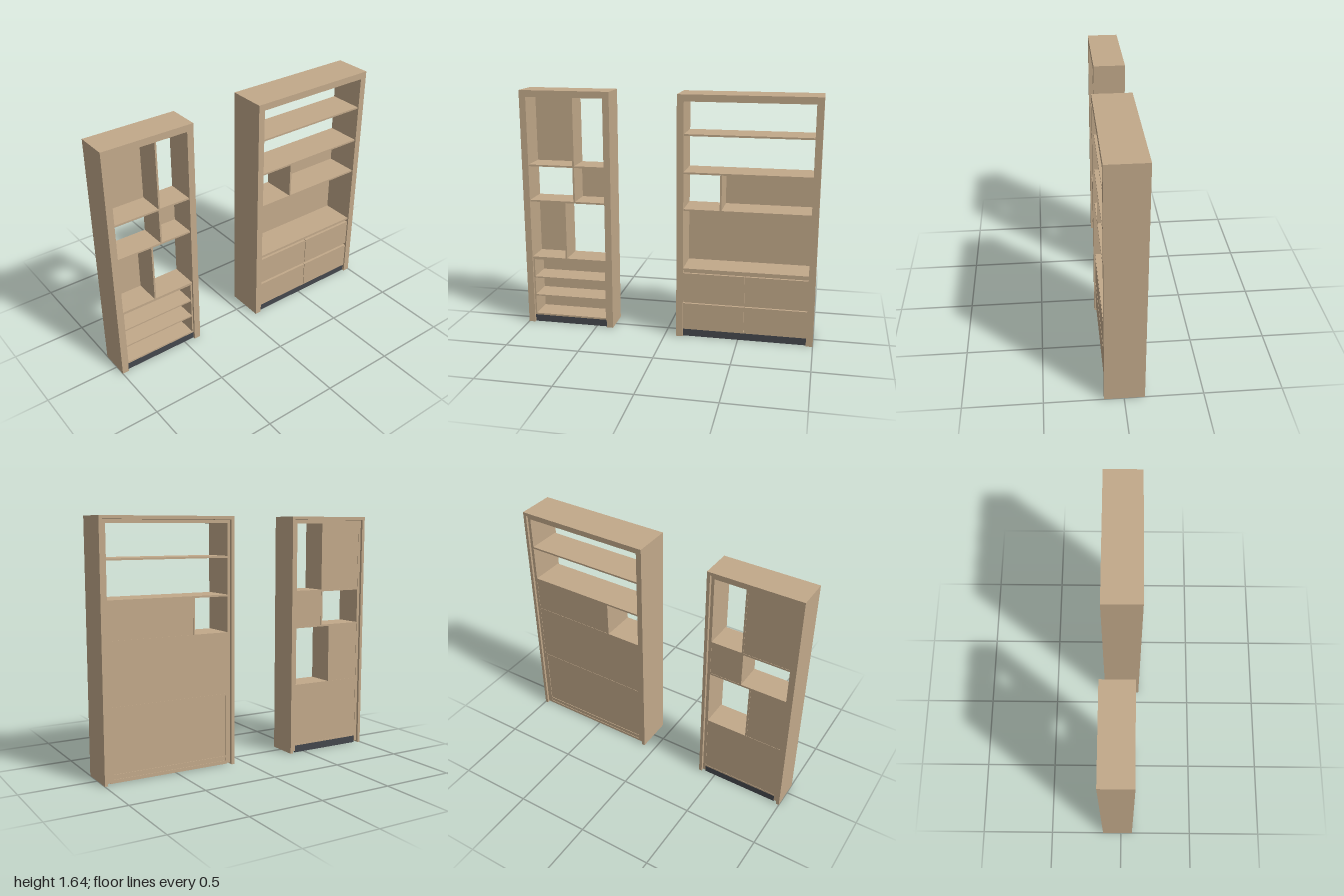
import * as THREE from 'three';

export function createModel() {
  const wood = new THREE.MeshStandardMaterial({ color: 0xc2a98a });
  wood.name = 'lightWood';
  const dark = new THREE.MeshStandardMaterial({ color: 0x44474d });
  dark.name = 'darkPlinth';

  const model = new THREE.Group();
  model.name = 'shelvingUnits';

  // Box given by its limits on each axis
  function board(group, name, x0, x1, y0, y1, z0, z1, material = wood) {
    const mesh = new THREE.Mesh(new THREE.BoxGeometry(x1 - x0, y1 - y0, z1 - z0), material);
    mesh.position.set((x0 + x1) / 2, (y0 + y1) / 2, (z0 + z1) / 2);
    mesh.name = name;
    group.add(mesh);
  }

  const H = 1.645, BACK = -0.13, RIM = 0.045, SKIN = 0.021, T = 0.012;
  const INNER = BACK + 0.012; // rear edge of the inner carcass

  // Outer shell, front trim, inner carcass and base shared by both units
  function makeUnit(name, x0, x1, front) {
    const g = new THREE.Group();
    g.name = name;
    model.add(g);
    const l = x0 + RIM, r = x1 - RIM, top = H - RIM;
    board(g, 'outerSide', x0, x0 + SKIN, 0, H, BACK, front);
    board(g, 'outerSide', x1 - SKIN, x1, 0, H, BACK, front);
    board(g, 'outerTop', x0 + SKIN, x1 - SKIN, H - SKIN, H, BACK, front);
    board(g, 'frontTrim', x0 + SKIN, l, 0, H - SKIN, front - 0.02, front);
    board(g, 'frontTrim', r, x1 - SKIN, 0, H - SKIN, front - 0.02, front);
    board(g, 'frontTrim', l, r, top, H - SKIN, front - 0.02, front);
    board(g, 'carcassSide', l - 0.02, l, 0.012, top + 0.02, INNER, front - 0.02);
    board(g, 'carcassSide', r, r + 0.02, 0.012, top + 0.02, INNER, front - 0.02);
    board(g, 'carcassTop', l, r, top, top + 0.02, INNER, front - 0.02);
    // Base: bottom board, rails, crossbar and dark plinth face
    const mid = (l + r) / 2;
    board(g, 'bottomBoard', l, r, 0.05, 0.05 + T, INNER, front - 0.015);
    board(g, 'baseRail', l, r, 0.004, 0.05, front - 0.045, front - 0.025);
    board(g, 'baseRail', l, r, 0.004, 0.05, INNER + 0.01, INNER + 0.025);
    board(g, 'baseCrossbar', mid - 0.01, mid + 0.01, 0.006, 0.05, INNER + 0.025, front - 0.045);
    board(g, 'plinthFace', l, r, 0, 0.05, front - 0.025, front - 0.017, dark);
    const f = front - 0.01;
    return {
      g, l, r, top, mid, f,
      shelf: y => board(g, 'shelf', l, r, y - T / 2, y + T / 2, INNER, f),
      divider: (x, y0, y1) => board(g, 'divider', x - T / 2, x + T / 2, y0, y1, INNER, f),
      backPanel: (a, b, y0, y1) => board(g, 'backPanel', a, b, y0, y1, INNER + 0.002, INNER + 0.012),
    };
  }

  // Narrow unit with staggered compartments
  const n = makeUnit('narrowUnit', -1, -0.38, 0.08);
  [1.136, 0.889, 0.48].forEach(n.shelf);
  n.divider(-0.64, 1.142, n.top);
  n.divider(-0.64, 0.895, 1.13);
  n.divider(-0.71, 0.486, 0.883);
  n.backPanel(n.l, -0.646, 1.142, n.top);
  n.backPanel(-0.634, n.r, 0.895, 1.13);
  n.backPanel(n.l, -0.716, 0.486, 0.883);
  n.backPanel(n.l, n.r, 0.05, 0.474);
  board(n.g, 'rearPlinthFace', n.l, n.r, 0, 0.05, INNER + 0.002, INNER + 0.01, dark);

  // Open lower compartment with its own lining and two shelves
  board(n.g, 'liningSide', n.l, n.l + 0.01, 0.062, 0.474, INNER + 0.012, n.f - 0.004);
  board(n.g, 'liningSide', n.r - 0.01, n.r, 0.062, 0.474, INNER + 0.012, n.f - 0.004);
  board(n.g, 'liningTop', n.l + 0.01, n.r - 0.01, 0.465, 0.474, INNER + 0.012, n.f - 0.004);
  for (const y of [0.199, 0.333])
    board(n.g, 'lowerShelf', n.l + 0.01, n.r - 0.01, y - 0.005, y + 0.005, INNER + 0.012, n.f - 0.004);

  // Wide unit
  const w = makeUnit('wideUnit', 0.08, 1, 0.125);
  [1.385, 1.136, 0.889, 0.48].forEach(w.shelf);
  w.divider(0.37, 0.895, 1.13);
  w.backPanel(0.376, w.r, 0.895, 1.13);
  w.backPanel(w.l, w.r, 0.486, 0.883);

  // Rear of the cupboard: recessed panel in a slim border
  board(w.g, 'cupboardBack', w.l + 0.012, w.r - 0.012, 0.03, 0.474, INNER + 0.004, INNER + 0.01);
  for (const x of [w.l, w.r - 0.012])
    board(w.g, 'cupboardBackBorder', x, x + 0.012, 0.012, 0.474, INNER, INNER + 0.012);
  board(w.g, 'cupboardBackBorder', w.l + 0.012, w.r - 0.012, 0.012, 0.03, INNER, INNER + 0.012);

  // Drawer fronts in two rows, with finger grooves above each row
  for (const [y0, y1] of [[0.052, 0.238], [0.258, 0.452]]) {
    board(w.g, 'drawerFront', w.l, w.mid - 0.002, y0, y1, w.f - 0.018, w.f);
    board(w.g, 'drawerFront', w.mid + 0.002, w.r, y0, y1, w.f - 0.018, w.f);
    board(w.g, 'grooveBack', w.l, w.r, y1 - 0.01, y1 + 0.022, w.f - 0.035, w.f - 0.022);
  }
  board(w.g, 'cupboardDivider', w.mid - 0.006, w.mid + 0.006, 0.062, 0.474, INNER + 0.012, w.f - 0.036);

  return model;
}
